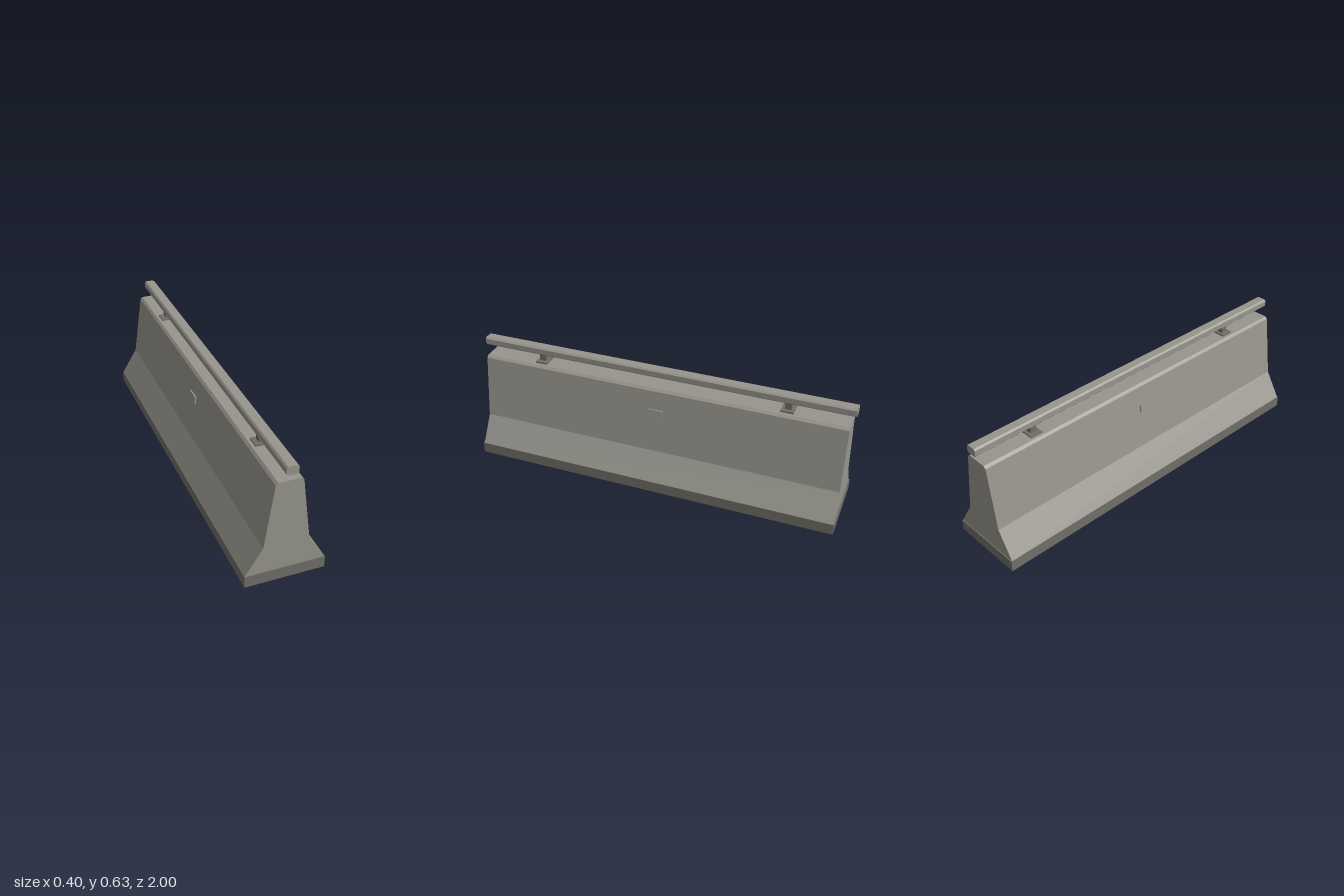
import * as THREE from 'three';

const material = (name, color) => {
  const m = new THREE.MeshStandardMaterial({ color });
  m.name = name;
  return m;
};

export function createModel() {
  const model = new THREE.Group();
  model.name = 'barrier';
  const concrete = material('concrete grey', 0x97958d);
  const dark = material('dark grey', 0x716f67);

  const add = (name, geometry, mat, x, y, z) => {
    const mesh = new THREE.Mesh(geometry, mat);
    mesh.name = name;
    mesh.position.set(x, y, z);
    model.add(mesh);
    return mesh;
  };

  // Mirrors a right-hand half profile (bottom to top) and extrudes it along z
  const prism = (half, length) => {
    const left = half.map(([x, y]) => [-x, y]).reverse();
    const shape = new THREE.Shape([...half, ...left].map(([x, y]) => new THREE.Vector2(x, y)));
    return new THREE.ExtrudeGeometry(shape, { depth: length, bevelEnabled: false })
      .translate(0, 0, -length / 2);
  };

  // Footing and sloped wall with chamfered top
  add('footing', new THREE.BoxGeometry(0.4, 0.06, 1.97), dark, 0, 0.03, 0);
  add('wall', prism([
    [0.198, 0.06], [0.113, 0.2], [0.067, 0.535], [0.055, 0.547],
  ], 1.96), concrete, 0, 0, 0);

  // Chamfered top rail
  add('rail', prism([
    [0.022, 0.591], [0.03, 0.599], [0.03, 0.627], [0.022, 0.635],
  ], 2), concrete, 0, 0, 0);

  // Rail supports and side plates, mirrored
  for (const s of [-1, 1]) {
    add('supportPlate', new THREE.BoxGeometry(0.08, 0.008, 0.066), dark, 0, 0.551, s * 0.667);
    add('supportPost', new THREE.BoxGeometry(0.034, 0.038, 0.034), dark, 0, 0.573, s * 0.667);
    const plate = add('sidePlate', new THREE.BoxGeometry(0.012, 0.04, 0.08), concrete, s * 0.0855, 0.415, 0);
    plate.rotation.z = s * 0.1365;
  }
  return model;
}
